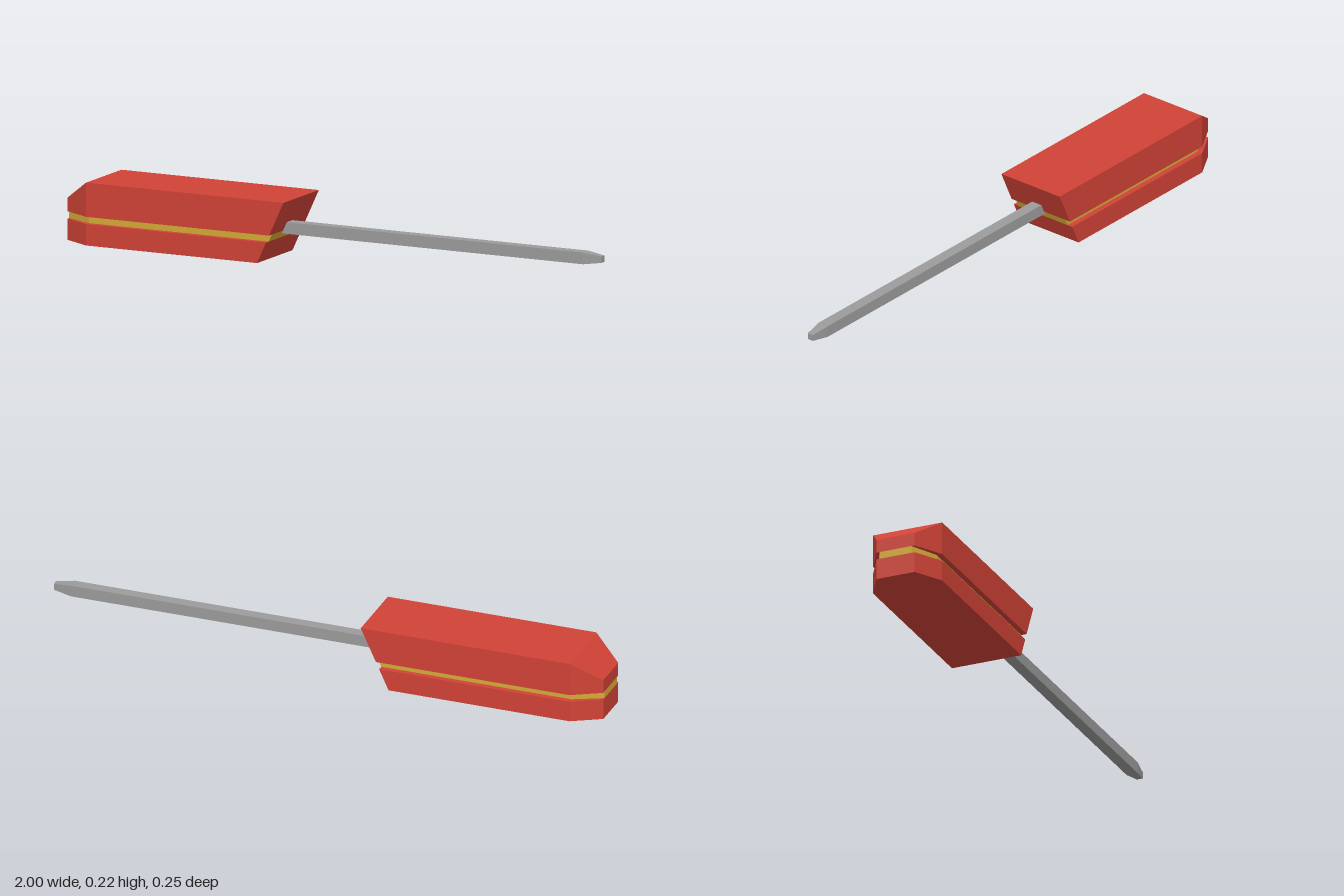
import * as THREE from 'three';
import { ConvexGeometry } from 'three/addons/geometries/ConvexGeometry.js';

const material = (name, color) => {
  const m = new THREE.MeshStandardMaterial({ color });
  m.name = name;
  return m;
};

// Front end of the handle leans forward with height
const frontX = (y) => -0.25 + 0.1 * (y / 0.215);

// One handle layer: hexagonal plan with a narrowed rear; rearTop lowers its rear upper edge
function layer(y0, y1, halfWidth, rearHalf, rearTop = y1) {
  const points = [];
  for (const s of [-1, 1]) {
    for (const y of [y0, y1]) {
      points.push(new THREE.Vector3(-1, y === y1 ? rearTop : y, s * rearHalf));
      points.push(new THREE.Vector3(-0.9, y, s * halfWidth));
      points.push(new THREE.Vector3(frontX(y), y, s * halfWidth));
    }
  }
  return new ConvexGeometry(points);
}

// Square shaft, each section given as [x, half size]
function shaft(sections, y, z) {
  const points = [];
  for (const [x, h] of sections)
    for (const sy of [-1, 1])
      for (const sz of [-1, 1]) points.push(new THREE.Vector3(x, y + sy * h, z + sz * h));
  return new ConvexGeometry(points);
}

export function createModel() {
  const red = material('handle red', 0xd04236);
  const gold = material('band gold', 0xd4aa35);
  const steel = material('steel grey', 0x9b9b9b);

  const group = new THREE.Group();
  group.name = 'screwdriver';
  const add = (name, geometry, mat) => {
    const mesh = new THREE.Mesh(geometry, mat);
    mesh.name = name;
    group.add(mesh);
  };

  // Handle halves with a recessed band between them
  add('upperHandle', layer(0.098, 0.215, 0.127, 0.07, 0.145), red);
  add('lowerHandle', layer(0, 0.073, 0.127, 0.07), red);
  add('handleBand', layer(0.073, 0.098, 0.107, 0.059), gold);

  // Shaft with a tapered tip
  add('shaft', shaft([[-0.24, 0.02], [0.935, 0.02], [1, 0.011]], 0.108, 0.006), steel);

  return group;
}
